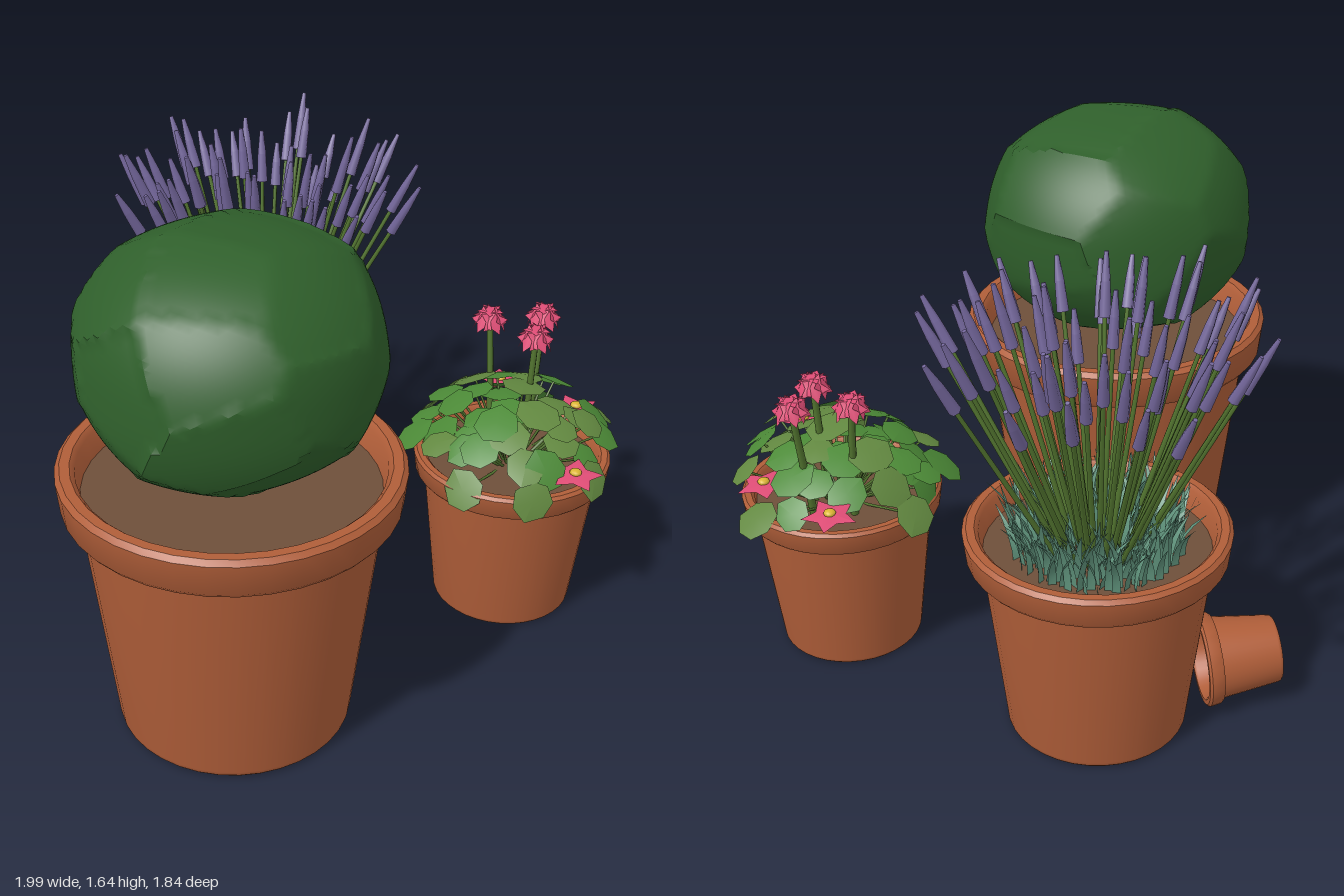
import * as THREE from 'three';
import { mergeGeometries, mergeVertices, toCreasedNormals } from 'three/addons/utils/BufferGeometryUtils.js';

const mat = (name, color, side = THREE.FrontSide) => {
  const m = new THREE.MeshStandardMaterial({ color, side });
  m.name = name;
  return m;
};
const M = {
  clay: mat('terracotta', 0xb05e39),
  soil: mat('soil', 0x6e4f3a),
  bush: mat('bush green', 0x2f5f2b),
  stem: mat('stem green', 0x52742f),
  lavender: mat('lavender', 0x74679c),
  blade: mat('grey green', 0x5f927b, THREE.DoubleSide),
  leaf: mat('leaf green', 0x4c8a37, THREE.DoubleSide),
  olive: mat('olive leaf green', 0x628840, THREE.DoubleSide),
  pink: mat('pink', 0xdf4d76, THREE.DoubleSide),
  yellow: mat('yellow', 0xdbb532),
};

const UP = new THREE.Vector3(0, 1, 0);
const V = (x, y, z) => new THREE.Vector3(x, y, z);
const GOLDEN = Math.PI * (3 - Math.sqrt(5));
function seeded(s) {
  return () => (s = (s * 16807) % 2147483647) / 2147483647;
}
function add(parent, name, geo, material) {
  const m = new THREE.Mesh(geo, material);
  m.name = name;
  parent.add(m);
  return m;
}
// Moves a y-up geometry to pos with its y axis along dir, spun about itself
function place(geo, pos, dir, spin = 0) {
  const q = new THREE.Quaternion().setFromUnitVectors(UP, dir.clone().normalize());
  return geo.rotateY(spin).applyQuaternion(q).translate(pos.x, pos.y, pos.z);
}
// Tapered rod between two points
function rod(a, b, r0, r1, sides = 6) {
  const d = b.clone().sub(a);
  return place(new THREE.CylinderGeometry(r1, r0, d.length(), sides), a.clone().add(b).multiplyScalar(0.5), d);
}

// Flower pot: turned body with a rounded foot and thick collar, optionally filled with soil
function pot(name, { base, neck, rim, rimY, top, wall, soil }) {
  const g = new THREE.Group();
  g.name = name;
  const b = wall * 0.25, c = wall * 0.4, inner = rim - wall;
  const profile = [
    [0, 0], [base - c, 0], [base - 0.4 * c, 0.12 * c], [base - 0.05 * c, 0.5 * c], [base + 0.05 * c, c],
    [neck, rimY], [rim - b * 1.5, rimY], [rim - b * 0.7, rimY + b],
    [rim, top - b], [rim - b, top], [inner + b, top], [inner, top - b],
    [inner * 0.96, rimY], [base - wall, wall], [0, wall],
  ].map(p => new THREE.Vector2(...p));
  add(g, 'potBody', toCreasedNormals(new THREE.LatheGeometry(profile, 36), 0.7), M.clay);
  if (soil) add(g, 'soil', new THREE.CircleGeometry(inner * 0.985, 36).rotateX(-Math.PI / 2).translate(0, soil, 0), M.soil);
  return g;
}

// Clipped bush: ball covered in broad, slightly flattened clumps that step over one another
function bush() {
  const rand = seeded(77);
  const clumps = Array.from({ length: 24 }, (_, i) => {
    const y = 1 - (2 * i + 1) / 24, r = Math.sqrt(1 - y * y), a = i * GOLDEN + rand() * 0.7;
    return { d: V(r * Math.cos(a), y, r * Math.sin(a)), s: 0.955 + rand() * 0.03 };
  });
  let geo = new THREE.IcosahedronGeometry(1, 20);
  geo.deleteAttribute('uv');
  geo.deleteAttribute('normal');
  geo = mergeVertices(geo, 1e-4);
  const p = geo.attributes.position, v = new THREE.Vector3();
  for (let i = 0; i < p.count; i++) {
    v.fromBufferAttribute(p, i).normalize();
    let near = -1, step = 1;
    for (const { d, s } of clumps) {
      const dot = d.dot(v);
      if (dot > near) [near, step] = [dot, s];
    }
    const k = Math.pow(Math.pow(Math.hypot(v.x, v.z), 2.2) + Math.pow(Math.abs(v.y), 2.2), -1 / 2.2);
    v.multiplyScalar(k * step / (0.62 + 0.38 * near));
    p.setXYZ(i, v.x * 0.46, v.y * 0.375, v.z * 0.45);
  }
  return toCreasedNormals(geo, 0.5);
}

// Narrow curved blade bending towards angle a, with a slight twist
function blade(length, lean, width, a, twist) {
  const pos = [], idx = [], n = 4;
  for (let i = 0; i <= n; i++) {
    const t = i / n, w = width * (1 - t * t * 0.92), turn = a + twist * t;
    for (const s of [-w, w]) {
      pos.push(Math.cos(a) * lean * t * t - Math.sin(turn) * s, length * t, Math.sin(a) * lean * t * t + Math.cos(turn) * s);
    }
    if (i < n) idx.push(2 * i, 2 * i + 2, 2 * i + 1, 2 * i + 1, 2 * i + 2, 2 * i + 3);
  }
  const g = new THREE.BufferGeometry();
  g.setAttribute('position', new THREE.Float32BufferAttribute(pos, 3));
  g.setIndex(idx);
  g.computeVertexNormals();
  return g;
}

function lavender() {
  const g = new THREE.Group(), rand = seeded(4242);
  g.name = 'lavenderPlant';
  const stems = [], heads = [], blades = [];
  const count = 60;
  for (let i = 0; i < count; i++) {
    const a = i * GOLDEN + rand() * 0.3, r = 0.06 + 0.47 * Math.pow((i + 0.5) / count, 0.6) + rand() * 0.04;
    const foot = V(Math.cos(a) * r * 0.25, 0, Math.sin(a) * r * 0.25);
    const tip = V(Math.cos(a) * r, 0.69 + rand() * 0.18, Math.sin(a) * r);
    const neck = tip.clone().lerp(foot, 0.19 + rand() * 0.04);
    const shoulder = neck.clone().lerp(tip, 0.55);
    stems.push(rod(foot, neck, 0.01, 0.007, 5));
    heads.push(rod(neck, shoulder, 0.019, 0.015), rod(shoulder, tip, 0.015, 0.007));
  }
  for (let i = 0; i < 280; i++) {
    const a = i * GOLDEN, r = 0.05 + 0.21 * Math.sqrt((i + 0.5) / 280);
    const leaf = blade(0.13 + rand() * 0.08, 0.03 + rand() * 0.07, 0.013, a + (rand() - 0.5) * 3, (rand() - 0.5) * 2);
    blades.push(leaf.translate(Math.cos(a) * r, 0, Math.sin(a) * r));
  }
  add(g, 'lavenderStems', mergeGeometries(stems), M.stem);
  add(g, 'lavenderHeads', mergeGeometries(heads), M.lavender);
  add(g, 'lavenderLeaves', mergeGeometries(blades), M.blade);
  return g;
}

// Flat disc lying in xz whose outline follows radius(i), with a lifted centre
function disc(n, lift, radius) {
  const g = new THREE.CircleGeometry(1, n).rotateX(-Math.PI / 2), p = g.attributes.position;
  p.setY(0, lift);
  for (let i = 1; i < p.count; i++) {
    const r = radius((i - 1) % n);
    p.setXYZ(i, p.getX(i) * r, 0, p.getZ(i) * r);
  }
  g.computeVertexNormals();
  return g;
}
const star = r => disc(10, r * 0.1, i => (i % 2 ? r * 0.55 : r));

function floweringPlant() {
  const g = new THREE.Group(), rand = seeded(991);
  g.name = 'floweringPlant';
  const stems = [], petals = [], centres = [], leaves = [[], []];
  const stars = [[0.22, -0.24], [0.26, 0.06], [-0.08, 0.32]];
  // Loose mound of broad leaves on short stalks, parting around the open flowers
  const count = 50;
  for (let i = 0; i < count; i++) {
    const t = (i + 0.5) / count, a = i * GOLDEN + rand() * 0.4;
    const r = 0.34 * Math.pow(t, 0.45) + (rand() - 0.5) * 0.04;
    const pos = V(Math.cos(a) * r, 0.06 + 0.18 * (1 - Math.pow(t, 1.5)) + (rand() - 0.5) * 0.1, Math.sin(a) * r);
    const tilt = 0.2 + 0.9 * t * rand() + 0.3 * t;
    const dir = V(Math.cos(a) * Math.sin(tilt), Math.cos(tilt), Math.sin(a) * Math.sin(tilt));
    const size = 0.058 + rand() * 0.018;
    if (stars.some(([x, z]) => Math.hypot(x - pos.x, z - pos.z) < 0.08)) continue;
    leaves[rand() < 0.65 ? 0 : 1].push(place(disc(7, 0.01, k => size * (k ? 1 : 1.15)), pos, dir, rand() * 6));
    stems.push(rod(V(pos.x * 0.2, 0, pos.z * 0.2), pos, 0.005, 0.004, 5));
  }
  // Three tall flower clusters
  for (const [x, z] of [[0.075, -0.19], [0.22, -0.08], [0.08, 0]]) {
    const head = V(x, 0.425, z);
    stems.push(rod(V(x * 0.7, 0, z * 0.7), head, 0.013, 0.011));
    petals.push(place(star(0.05), V(x, 0.468, z), UP));
    for (let i = 0; i < 6; i++) {
      const d = V(Math.cos(i * Math.PI / 3), 0.55, Math.sin(i * Math.PI / 3)).normalize();
      petals.push(place(star(0.05), head.clone().addScaledVector(d, 0.038), d, i));
    }
  }
  // Open star flowers at the edge
  for (const [x, z] of stars) {
    const c = V(x, 0.125, z);
    stems.push(rod(V(x * 0.3, 0, z * 0.3), c, 0.006, 0.005, 5));
    petals.push(place(star(0.092), c, V(x * 0.2, 1, z * 0.2), x * 9));
    centres.push(new THREE.SphereGeometry(0.02, 10, 6).scale(1, 0.6, 1).translate(c.x, c.y + 0.01, c.z));
  }
  add(g, 'leafStalks', mergeGeometries(stems), M.stem);
  add(g, 'leaves', mergeGeometries(leaves[0]), M.leaf);
  add(g, 'oliveLeaves', mergeGeometries(leaves[1]), M.olive);
  add(g, 'petals', mergeGeometries(petals), M.pink);
  add(g, 'flowerCentres', mergeGeometries(centres), M.yellow);
  return g;
}

export function createModel() {
  const model = new THREE.Group();
  model.name = 'pottedPlants';

  // Large pot with the round bush
  const large = pot('largePot', { base: 0.367, neck: 0.457, rim: 0.52, rimY: 0.78, top: 0.91, wall: 0.06, soil: 0.82 });
  large.position.set(-0.48, 0, 0.36);
  add(large, 'bush', bush(), M.bush).position.y = 1.265;

  // Middle pot with lavender
  const middle = pot('middlePot', { base: 0.285, neck: 0.355, rim: 0.41, rimY: 0.61, top: 0.71, wall: 0.05, soil: 0.63 });
  middle.position.set(0.33, 0, -0.37);
  const lav = lavender();
  lav.position.y = 0.625;
  middle.add(lav);

  // Small pot with the flowering plant
  const small = pot('smallPot', { base: 0.235, neck: 0.29, rim: 0.328, rimY: 0.49, top: 0.57, wall: 0.04, soil: 0.53 });
  small.position.set(0.607, 0, 0.55);
  const flowers = floweringPlant();
  flowers.position.y = 0.52;
  small.add(flowers);

  // Tiny empty pot lying on its side
  const tiny = pot('fallenPot', { base: 0.108, neck: 0.132, rim: 0.152, rimY: 0.2, top: 0.25, wall: 0.03 });
  tiny.position.set(-0.15, 0.17, -0.7);
  tiny.quaternion.setFromUnitVectors(UP, V(0.83, -0.06, 0.56).normalize());

  model.add(large, middle, small, tiny);
  return model;
}
